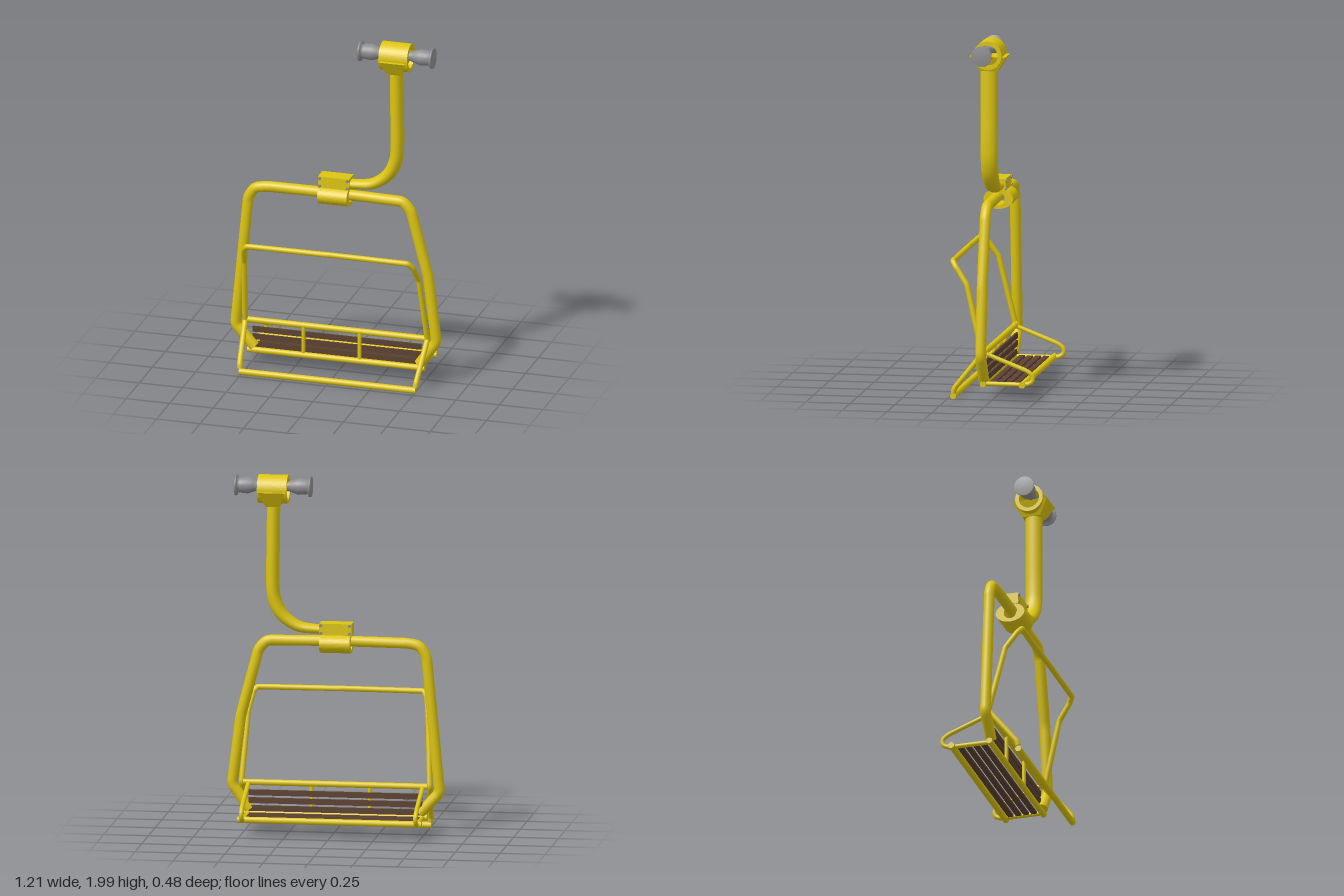
import * as THREE from 'three';

const V = (x, y, z) => new THREE.Vector3(x, y, z);

export function createModel() {
  const yellow = new THREE.MeshStandardMaterial({ color: 0xdcc410, side: THREE.DoubleSide });
  yellow.name = 'yellow paint';
  const brown = new THREE.MeshStandardMaterial({ color: 0x5c4130 });
  brown.name = 'brown slats';
  const grey = new THREE.MeshStandardMaterial({ color: 0x8e8e90 });
  grey.name = 'grey metal';

  const root = new THREE.Group();
  root.name = 'chairlift';
  const add = (name, geo, mat, x = 0, y = 0, z = 0, parent = root) => {
    const m = new THREE.Mesh(geo, mat);
    m.name = name;
    m.position.set(x, y, z);
    parent.add(m);
    return m;
  };

  // Replaces each corner of a polyline by a short bend
  const rounded = (pts, cut) => {
    const out = [pts[0]];
    for (let i = 1; i < pts.length - 1; i++) {
      const p = pts[i];
      const toward = (q) => p.clone().lerp(q, Math.min(0.45, cut / p.distanceTo(q)));
      const bend = new THREE.QuadraticBezierCurve3(toward(pts[i - 1]), p, toward(pts[i + 1]));
      out.push(...bend.getPoints(4));
    }
    out.push(pts[pts.length - 1]);
    return out;
  };

  // Capped pipe along points; radii(t) gives [across, along ref]
  const pipe = (pts, radii, ref = V(0, 0, 1), sides = 14) => {
    const pos = [], idx = [], n = pts.length;
    const ring = (i) => {
      const t = pts[Math.min(i + 1, n - 1)].clone().sub(pts[Math.max(i - 1, 0)]).normalize();
      const across = t.clone().cross(ref).normalize();
      const along = across.clone().cross(t).normalize();
      const [a, b] = typeof radii === 'function' ? radii(i / (n - 1)) : [radii, radii];
      for (let k = 0; k < sides; k++) {
        const w = k / sides * Math.PI * 2;
        pos.push(...pts[i].clone().addScaledVector(across, a * Math.cos(w))
          .addScaledVector(along, b * Math.sin(w)).toArray());
      }
    };
    for (let i = 0; i < n; i++) ring(i);
    for (let i = 0; i < n - 1; i++) {
      for (let k = 0; k < sides; k++) {
        const a = i * sides + k, b = i * sides + (k + 1) % sides;
        idx.push(a, a + sides, b, b, a + sides, b + sides);
      }
    }
    // caps use their own vertices so the rims stay sharp
    const c0 = pos.length / 3;
    ring(0);
    const c1 = pos.length / 3;
    ring(n - 1);
    for (let k = 1; k < sides - 1; k++) {
      idx.push(c0, c0 + k, c0 + k + 1, c1, c1 + k + 1, c1 + k);
    }
    // turn the faces outward
    for (let i = 0; i < idx.length; i += 3) [idx[i + 1], idx[i + 2]] = [idx[i + 2], idx[i + 1]];
    const g = new THREE.BufferGeometry();
    g.setAttribute('position', new THREE.Float32BufferAttribute(pos, 3));
    const p0 = V(...pos.slice(0, 3)), p1 = V(...pos.slice(3, 6)), p2 = V(...pos.slice(sides * 3, sides * 3 + 3));
    const facing = p1.sub(p0).cross(p2.sub(p0)).dot(p0.clone().sub(pts[0]));
    // side faces start as (a, b, a + ring): flip all if that points inward
    if (facing < 0) for (let i = 0; i < idx.length; i += 3) [idx[i + 1], idx[i + 2]] = [idx[i + 2], idx[i + 1]];
    g.setIndex(idx);
    g.computeVertexNormals();
    return g;
  };

  // Straight bar along x
  const bar = (name, x0, x1, y, z, r) => add(name, pipe([V(x0, y, z), V(x1, y, z)], r), yellow);

  // Hollow sleeve along x with elliptical section
  const sleeve = (name, length, ry, rz, hole, x, y, z) => {
    const s = new THREE.Shape().absellipse(0, 0, rz, ry, 0, Math.PI * 2);
    s.holes.push(new THREE.Path().absellipse(0, 0, hole, hole, 0, Math.PI * 2));
    const g = new THREE.ExtrudeGeometry(s, { depth: length, bevelEnabled: false, curveSegments: 24 });
    g.translate(0, 0, -length / 2).rotateY(Math.PI / 2);
    add(name, g, yellow, x, y, z);
  };

  // Main frame, a little uneven on its two sides
  const frame = [[-0.47, 0.12], [-0.58, 0.24], [-0.507, 1.0], [-0.47, 1.06], [-0.4, 1.073], [0.0, 1.076],
    [0.385, 1.07], [0.43, 1.02], [0.53, 0.64], [0.577, 0.26], [0.48, 0.12]].map(([x, y]) => V(x, y, 0.05));
  add('mainFrame', pipe(rounded(frame, 0.025), 0.03), yellow);

  // Hanger arm, flatter across and tapering into the joint
  const arm = new THREE.CatmullRomCurve3([[0.04, 1.14], [0.12, 1.142], [0.21, 1.155], [0.3, 1.22],
    [0.342, 1.31], [0.35, 1.41], [0.348, 1.6], [0.345, 1.86]].map(([x, y]) => V(x, y, 0.043)));
  add('hangerArm', pipe(arm.getSpacedPoints(40),
    (t) => { const k = Math.min(1, t / 0.35); return [0.023 + 0.014 * k, 0.036 + 0.012 * k]; }, V(0, 0, 1), 20), yellow);

  // Cable grip: sleeve, funnel and two handles
  sleeve('gripSleeve', 0.165, 0.08, 0.08, 0.058, 0.345, 1.92, 0.04);
  const funnel = new THREE.CylinderGeometry(Math.SQRT2, Math.SQRT2 * 0.5, 0.085, 4, 1).toNonIndexed();
  funnel.rotateY(Math.PI / 4).scale(0.075, 1, 0.102);
  funnel.computeVertexNormals();
  add('gripFunnel', funnel, yellow, 0.345, 1.87, 0.04);
  const profile = [[0, 0], [0.025, 0], [0.026, 0.08], [0.034, 0.105], [0.046, 0.14], [0.042, 0.185], [0.038, 0.197],
    [0.056, 0.2], [0.058, 0.207], [0.056, 0.214], [0, 0.215]].map(([r, y]) => new THREE.Vector2(r, y));
  for (const s of [-1, 1]) {
    const handle = add(s > 0 ? 'leftHandle' : 'rightHandle', new THREE.LatheGeometry(profile, 24), grey, 0.348, 1.935, 0.05);
    handle.rotation.z = -s * Math.PI / 2;
  }

  // Joint on the frame with its box and corner bolts
  sleeve('jointSleeve', 0.17, 0.056, 0.083, 0.036, -0.005, 1.066, 0.04);
  add('jointBox', new THREE.BoxGeometry(0.18, 0.065, 0.09), yellow, -0.005, 1.146, 0.043);
  for (const x of [-0.08, 0.08]) for (const y of [-0.022, 0.022]) for (const s of [-1, 1]) {
    const bolt = add('plateBolt', new THREE.CylinderGeometry(0.009, 0.009, 0.008, 10), grey, x - 0.005, 1.146 + y, 0.043 + s * 0.047);
    bolt.rotation.x = Math.PI / 2;
  }

  // Swinging lap bar with its lower arms
  const lap = [[-0.505, 0.045, 0.215], [-0.508, 0.07, 0.21], [-0.525, 0.27, 0.05], [-0.503, 0.65, 0.14], [-0.486, 0.745, 0.205],
    [-0.465, 0.775, 0.226]];
  const lapPoints = [...lap, [0, 0.777, 0.226], ...lap.slice().reverse().map(([x, y, z]) => [-x, y, z])];
  add('lapBar', pipe(rounded(lapPoints.map((p) => V(...p)), 0.012), 0.0155), yellow);
  bar('footRest', -0.508, 0.508, 0.027, 0.217, 0.018);

  // Seat side loops
  const loop = [[0.27, 0.05], [0.175, -0.195], [0.15, -0.228], [0.115, -0.226], [0.098, -0.19], [0.098, 0.05]];
  for (const s of [-1, 1]) {
    add(s > 0 ? 'leftArmrest' : 'rightArmrest',
      pipe(rounded(loop.map(([y, z]) => V(s * 0.486, y, z)), 0.02), 0.0125, V(1, 0, 0)), yellow);
  }

  // Seat rails and back posts
  bar('backTopRail', -0.515, 0.515, 0.272, 0.045, 0.017);
  bar('backLowerRail', -0.51, 0.51, 0.098, 0.05, 0.017);
  bar('seatEdgeRail', -0.512, 0.515, 0.098, -0.17, 0.018);
  for (const x of [-0.19, 0.135]) {
    add('backPost', pipe([V(x, 0.1, 0.05), V(x, 0.27, 0.05)], 0.011), yellow);
  }

  // Wooden slats of the seat and the back
  for (const z of [-0.13, -0.085, -0.04, 0.005]) {
    add('seatSlat', new THREE.BoxGeometry(0.97, 0.012, 0.031), brown, 0, 0.1, z);
  }
  for (const y of [0.128, 0.172, 0.216]) {
    add('backSlat', new THREE.BoxGeometry(0.97, 0.031, 0.012), brown, 0, y, 0.036);
  }
  return root;
}
